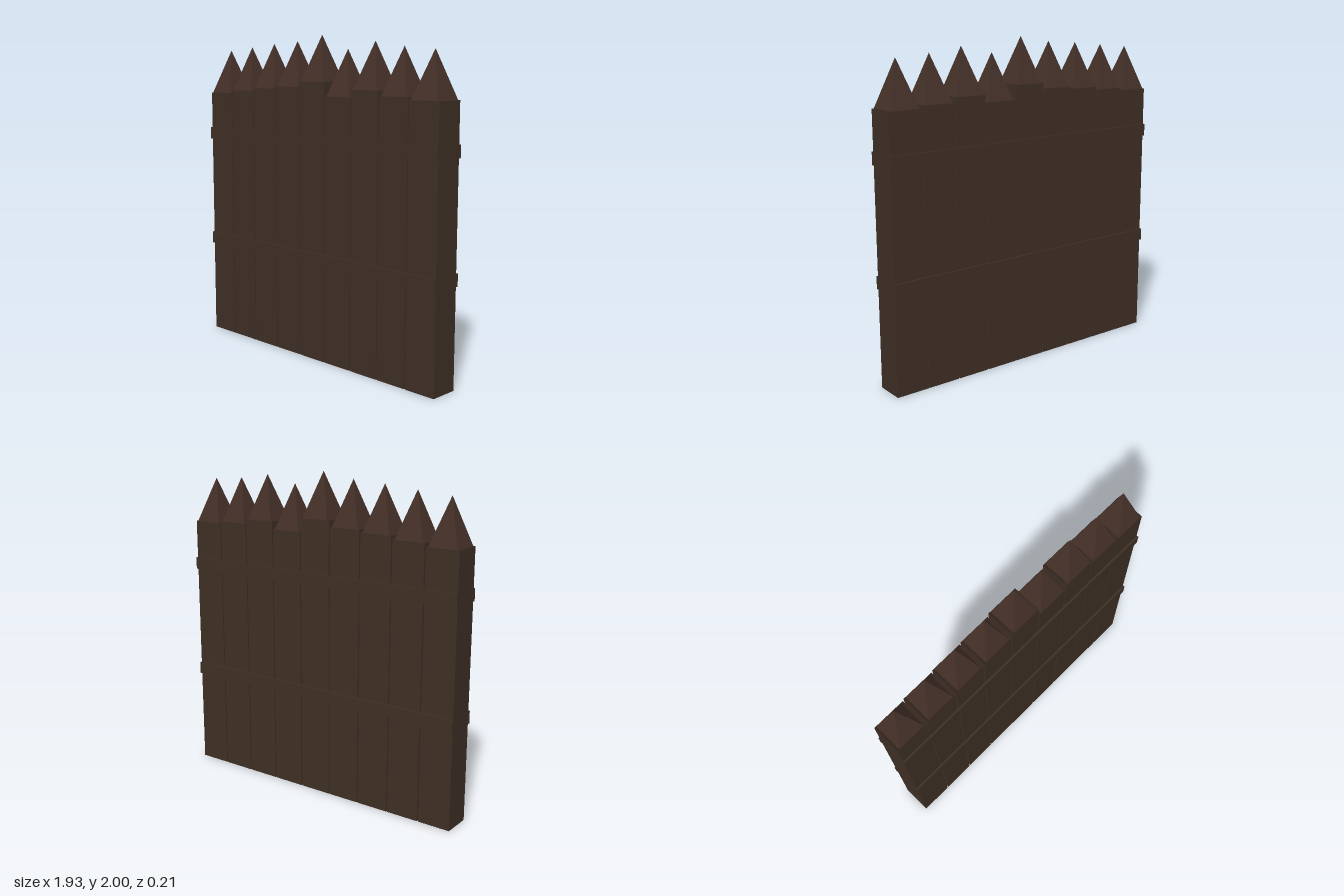
import * as THREE from 'three';

const WIDTH = 0.207, DEPTH = 0.18, PITCH = 0.215, TIP = 0.277;
const POST_TOPS = [1.633, 1.653, 1.673, 1.688, 1.723, 1.638, 1.683, 1.653, 1.638];

// Open four-sided tube or pyramid, standing on y = 0
function fourSided(topRadius, width, height, depth) {
  const geometry = new THREE.CylinderGeometry(topRadius, Math.SQRT1_2, 1, 4, 1, true);
  geometry.rotateY(Math.PI / 4);
  geometry.translate(0, 0.5, 0);
  geometry.scale(width, height, depth);
  const flat = geometry.toNonIndexed();
  flat.computeVertexNormals();
  return flat;
}

export function createModel() {
  const group = new THREE.Group();
  const postWood = new THREE.MeshStandardMaterial({ color: 0x3d2e24, side: THREE.DoubleSide });
  postWood.name = 'dark post wood';
  const tipWood = new THREE.MeshStandardMaterial({ color: 0x443028, side: THREE.DoubleSide });
  tipWood.name = 'reddish tip wood';
  const railWood = new THREE.MeshStandardMaterial({ color: 0x3d2e24 });
  railWood.name = 'dark rail wood';

  function add(name, geometry, material, x, y, z) {
    const mesh = new THREE.Mesh(geometry, material);
    mesh.name = name;
    mesh.position.set(x, y, z);
    group.add(mesh);
  }

  // Hollow posts of uneven height, each with a slightly narrower pointed tip
  const tip = fourSided(0, DEPTH, TIP, DEPTH);
  POST_TOPS.forEach((top, i) => {
    const x = (i - 4) * PITCH;
    add('post', fourSided(Math.SQRT1_2, WIDTH, top, DEPTH), postWood, x, 0, 0);
    add('postTip', tip, tipWood, x, top, 0);
  });

  // Two thin rails on the front and two on the back
  const rail = new THREE.BoxGeometry(1.932, 0.076, 0.013);
  for (const y of [0.642, 1.361]) {
    for (const side of [1, -1]) {
      add(side > 0 ? 'frontRail' : 'backRail', rail, railWood, 0, y, side * 0.0965);
    }
  }
  return group;
}
